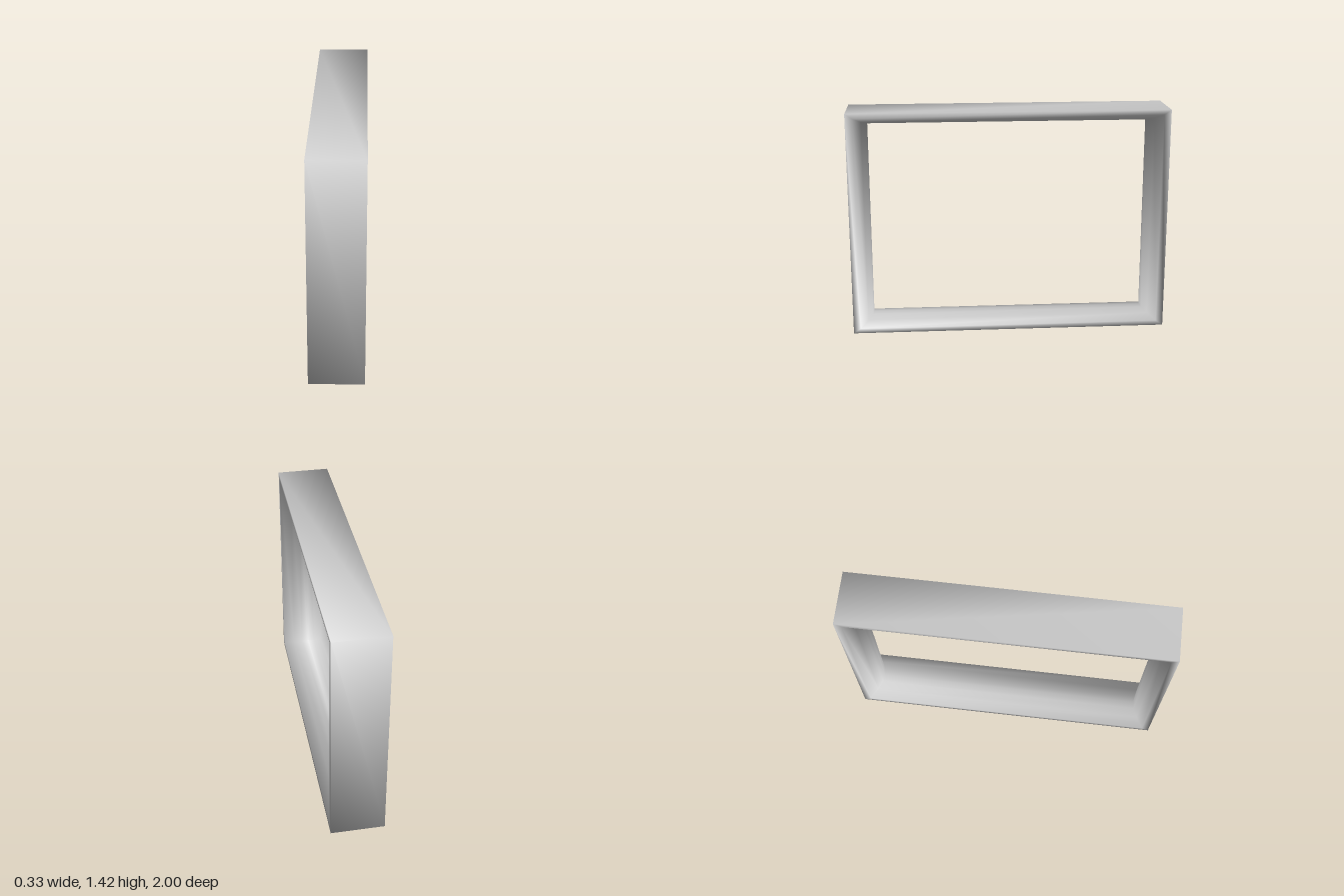
import * as THREE from 'three';

const HALF_DEPTH = 0.167; // along x
const HEIGHT = 1.42;
const HALF_LENGTH = 1;
const Y_RATIO = 0.68;     // horizontal bars are thinner than the upright ones

// Bar cross-section as [x, thickness]: flat outside, narrow lips, bulging inside
const half = [[HALF_DEPTH, 0], [HALF_DEPTH, 0.045], [0.1, 0.092], [0.045, 0.119]];
const profile = [...half, [0, 0.125], ...half.map(([x, t]) => [-x, t]).reverse()];

// One mitred rectangular ring for a profile point
function ringCorners([x, t]) {
  const z = HALF_LENGTH - t, low = t * Y_RATIO, high = HEIGHT - low;
  return [x, low, z, x, low, -z, x, high, -z, x, high, z];
}

// Rings share their corners, so the shading runs smoothly over every edge
function frameGeometry() {
  const index = [];
  profile.forEach((_, i) => {
    const ring = i * 4, next = ((i + 1) % profile.length) * 4;
    for (let k = 0; k < 4; k++) {
      const m = (k + 1) % 4;
      index.push(ring + k, ring + m, next + m, ring + k, next + m, next + k);
    }
  });
  const geometry = new THREE.BufferGeometry();
  geometry.setAttribute('position', new THREE.Float32BufferAttribute(profile.flatMap(ringCorners), 3));
  geometry.setIndex(index);
  geometry.computeVertexNormals();
  return geometry;
}

export function createModel() {
  const group = new THREE.Group();
  group.name = 'rectangularFrame';
  const material = new THREE.MeshStandardMaterial({ color: 0xcccccc });
  const frame = new THREE.Mesh(frameGeometry(), material);
  frame.name = 'frame';
  group.add(frame);
  return group;
}
